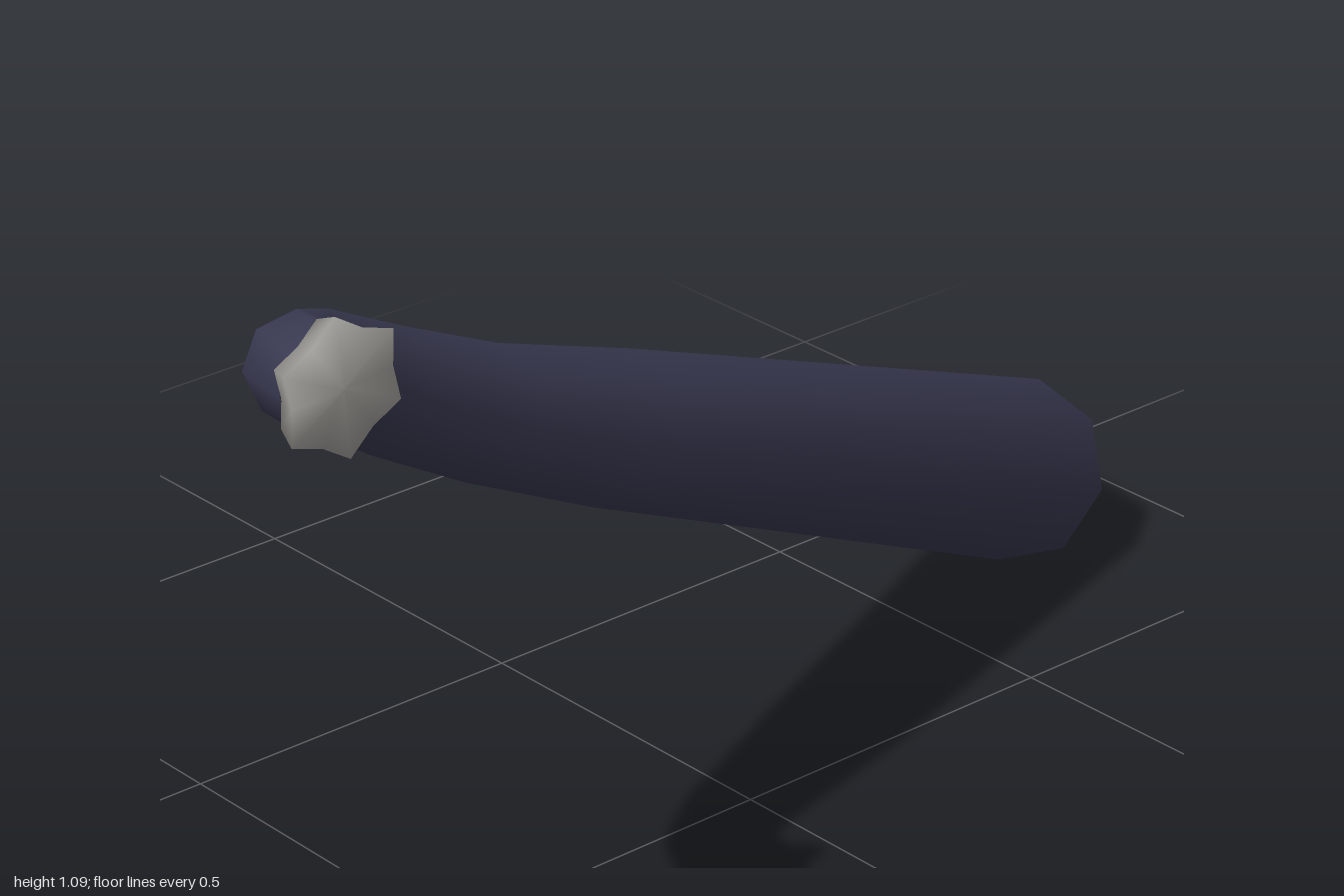
import * as THREE from 'three';

const navy = new THREE.MeshStandardMaterial({ color: 0x3b3b54 });
const stone = new THREE.MeshStandardMaterial({ color: 0xa6a49f });
navy.name = 'dark navy';
stone.name = 'warm grey';

// Smooth skin over rings [x, y, z, radius]; shape(j) scales the radius of each corner.
function loft(name, rings, sides, material, phase = 0, shape = () => 1) {
  const centres = rings.map(([x, y, z]) => new THREE.Vector3(x, y, z));
  const up = new THREE.Vector3(0, 1, 0);
  const positions = [], index = [];
  rings.forEach(([, , , r], i) => {
    const before = centres[Math.max(i - 1, 0)], after = centres[Math.min(i + 1, rings.length - 1)];
    const dir = after.clone().sub(before).normalize();
    const u = up.clone().cross(dir).normalize();
    const v = dir.clone().cross(u);
    for (let j = 0; j < sides; j++) {
      const a = phase + (j / sides) * Math.PI * 2;
      const p = centres[i].clone()
        .addScaledVector(u, Math.cos(a) * r * shape(j))
        .addScaledVector(v, Math.sin(a) * r * shape(j));
      positions.push(p.x, p.y, p.z);
      if (i === 0) continue;
      const k = (j + 1) % sides, lo = (i - 1) * sides, hi = i * sides;
      index.push(lo + j, lo + k, hi + j, lo + k, hi + k, hi + j);
    }
  });
  const geometry = new THREE.BufferGeometry();
  geometry.setAttribute('position', new THREE.Float32BufferAttribute(positions, 3));
  geometry.setIndex(index);
  geometry.computeVertexNormals();
  const mesh = new THREE.Mesh(geometry, material);
  mesh.name = name;
  return mesh;
}

export function createModel() {
  const model = new THREE.Group();
  model.name = 'taperedHorn';

  // Long pointed body that thins towards the bent neck
  model.add(loft('body', [
    [0.995, 0.005, -0.365, 0],
    [0.747, 0.132, -0.281, 0.128],
    [-0.28, 0.64, 0.062, 0.097],
    [-0.54, 0.77, 0.145, 0.082],
    [-0.718, 0.872, 0.2, 0.074],
    [-0.855, 0.96, 0.255, 0.066],
    [-0.918, 1.0, 0.31, 0.062],
    [-0.927, 1.006, 0.375, 0.062],
  ], 8, navy));

  // Flared six-pointed cap closing the neck
  model.add(loft('starCap', [
    [-0.928, 1.008, 0.362, 0],
    [-0.928, 1.008, 0.364, 0.071],
    [-0.928, 1.008, 0.397, 0.085],
    [-0.928, 1.008, 0.4, 0],
  ], 12, stone, THREE.MathUtils.degToRad(95), (j) => (j % 2 ? 0.8 : 1)));

  return model;
}
